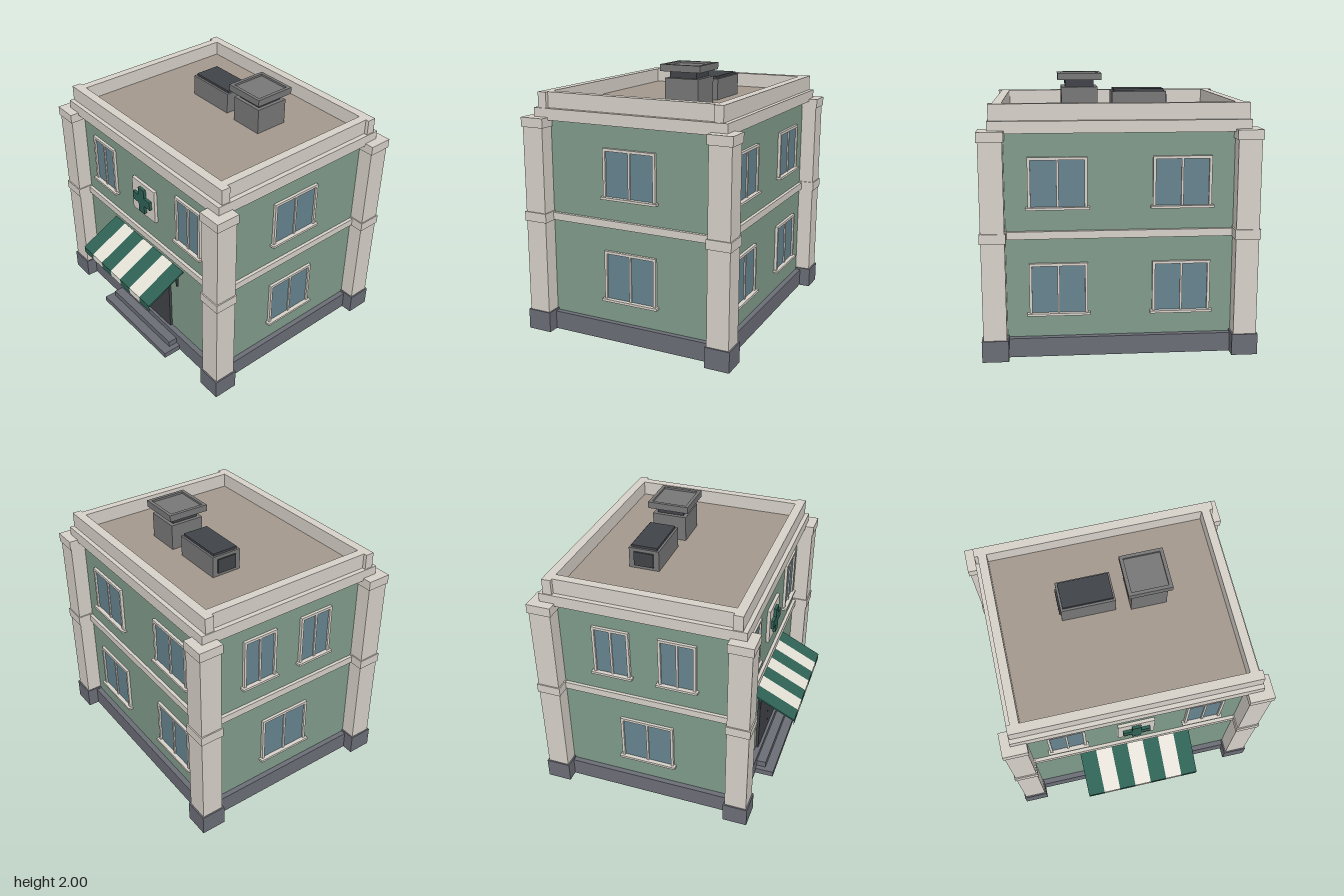
import * as THREE from 'three';

const mat = (color) => new THREE.MeshStandardMaterial({ color });

export function createModel() {
  const M = {
    wall: mat(0x7f9b8a), cream: mat(0xd6d0c8), plinth: mat(0x6b6d76), dark: mat(0x404348),
    glass: mat(0x66838f), roof: mat(0xa3988d), metal: mat(0x777777), green: mat(0x2f6154),
    white: mat(0xe4e0d6),
  };
  const ZC = -0.1; // middle of the building in depth
  const model = new THREE.Group();
  model.name = 'building';

  const group = (name, parent = model) => {
    const g = new THREE.Group();
    g.name = name;
    parent.add(g);
    return g;
  };
  // Box given by its limits on each axis
  const box = (name, m, [x0, x1], [y0, y1], [z0, z1], parent = model) => {
    const mesh = new THREE.Mesh(new THREE.BoxGeometry(x1 - x0, y1 - y0, z1 - z0), m);
    mesh.position.set((x0 + x1) / 2, (y0 + y1) / 2, (z0 + z1) / 2);
    mesh.name = name;
    parent.add(mesh);
    return mesh;
  };
  // Box centred on the building, given by its half width and half depth
  const slab = (name, m, hx, y, hz) => box(name, m, [-hx, hx], y, [ZC - hz, ZC + hz]);

  // Main body
  slab('plinth', M.plinth, 0.9, [0, 0.14], 0.742);
  slab('walls', M.wall, 0.86, [0.14, 1.62], 0.7);
  slab('floorBand', M.cream, 0.885, [0.865, 0.92], 0.725);
  slab('cornice', M.cream, 0.915, [1.615, 1.7], 0.757);
  slab('roofDeck', M.roof, 0.82, [1.69, 1.705], 0.66);

  // Parapet: front and back run the full width, the sides are set in
  for (const s of [-1, 1]) {
    const z = ZC + s * 0.69;
    box('parapetLong', M.cream, [-0.907, 0.907], [1.7, 1.815], [z - 0.034, z + 0.034]);
    const x = s * 0.848;
    box('parapetSide', M.cream, [x - 0.032, x + 0.032], [1.7, 1.815], [ZC - 0.656, ZC + 0.656]);
  }

  // Corner columns with base, collar and cap
  for (const sx of [-1, 1]) for (const sz of [-1, 1]) {
    const col = group('cornerColumn');
    col.position.set(sx * 0.893, 0, ZC + sz * 0.733);
    const part = (name, m, h, y) => box(name, m, [-h, h], y, [-h, h], col);
    part('columnBase', M.plinth, 0.094, [0, 0.155]);
    part('columnShaft', M.cream, 0.083, [0.155, 1.6]);
    part('columnCollar', M.cream, 0.092, [0.86, 0.93]);
    part('columnCap', M.cream, 0.092, [1.565, 1.635]);
  }

  // Two-pane window facing +z, then turned onto its wall
  const addWindow = (w, y0, y1, x, z, turn) => {
    const win = group('window');
    win.position.set(x, 0, z);
    win.rotation.y = turn;
    const h = w / 2, f = 0.02;
    box('glass', M.glass, [-h + f, h - f], [y0, y1 - f], [-0.01, 0.008], win);
    for (const s of [-1, 1]) {
      const cx = s * (h - f / 2);
      box('frameSide', M.cream, [cx - f / 2, cx + f / 2], [y0, y1], [-0.01, 0.022], win);
    }
    box('frameTop', M.cream, [-h + f, h - f], [y1 - f, y1], [-0.01, 0.022], win);
    box('mullion', M.cream, [-0.008, 0.008], [y0, y1 - f], [-0.01, 0.018], win);
    box('sill', M.cream, [-h - 0.016, h + 0.016], [y0 - 0.008, y0 + 0.01], [-0.01, 0.04], win);
  };
  const LOW = [0.31, 0.685], HIGH = [1.083, 1.445], NARROW = [1.083, 1.477];
  for (const s of [-1, 1]) {
    addWindow(0.282, ...NARROW, s * 0.525, 0.6, 0);
    addWindow(0.282, ...NARROW, -0.86, ZC + s * 0.25, -Math.PI / 2);
    for (const floor of [LOW, HIGH]) addWindow(0.418, ...floor, s * 0.44, -0.8, Math.PI);
  }
  for (const floor of [LOW, HIGH]) addWindow(0.418, ...floor, 0.86, ZC, Math.PI / 2);
  addWindow(0.418, ...LOW, -0.86, ZC, -Math.PI / 2);

  // Double door with handles
  const door = group('door');
  for (const s of [-1, 1]) {
    const leaf = s * 0.14;
    box('doorLeaf', M.dark, [leaf - 0.138, leaf + 0.138], [0.14, 0.64], [0.59, 0.62], door);
    const hx = s * 0.025;
    box('doorHandle', M.cream, [hx - 0.004, hx + 0.004], [0.42, 0.51], [0.62, 0.635], door);
  }

  // Entrance steps
  box('lowerStep', M.plinth, [-0.425, 0.425], [0, 0.045], [0.6, 0.788]);
  box('upperStep', M.plinth, [-0.385, 0.385], [0.045, 0.095], [0.6, 0.715]);

  // Striped awning: sloping strips with a thin hanging valance
  const awning = group('awning');
  const run = 0.32, drop = 0.16, stripe = 0.89 / 7;
  for (let i = 0; i < 7; i++) {
    const m = i % 2 ? M.white : M.green;
    const x = (i - 3) * stripe;
    const strip = box('awningStrip', m, [x - stripe / 2, x + stripe / 2],
      [0, 0.012], [0, Math.hypot(run, drop)], awning);
    strip.position.set(x, 0.729, 0.763);
    strip.rotation.x = Math.atan2(drop, run);
    const flap = m.clone();
    flap.side = THREE.DoubleSide;
    const valance = new THREE.Mesh(new THREE.PlaneGeometry(stripe, 0.05), flap);
    valance.position.set(x, 0.626, 0.923);
    valance.name = 'awningValance';
    awning.add(valance);
  }
  for (const s of [-1, 1]) {
    const x = s * 0.432;
    box('awningBracket', M.dark, [x - 0.008, x + 0.008], [0.69, 0.78], [0.645, 0.66], awning);
  }

  // Wall sign with a raised cross
  const sign = group('crossSign');
  box('signPanel', M.cream, [-0.14, 0.14], [1.098, 1.375], [0.59, 0.625], sign);
  const cross = new THREE.Shape();
  const a = 0.035, b = 0.104;
  [[-a, -b], [a, -b], [a, -a], [b, -a], [b, a], [a, a], [a, b], [-a, b], [-a, a], [-b, a], [-b, -a], [-a, -a]]
    .forEach(([x, y], i) => (i ? cross.lineTo(x, y) : cross.moveTo(x, y)));
  const crossMesh = new THREE.Mesh(
    new THREE.ExtrudeGeometry(cross, { depth: 0.022, bevelEnabled: false }), M.green);
  crossMesh.position.set(0, 1.237, 0.625);
  crossMesh.name = 'cross';
  sign.add(crossMesh);

  // Rooftop cooling unit with dark lid and end grille
  const unit = group('coolingUnit');
  box('unitBody', M.metal, [-0.375, 0.025], [1.7, 1.865], [-0.395, -0.163], unit);
  box('unitLid', M.dark, [-0.36, 0.012], [1.865, 1.883], [-0.38, -0.18], unit);
  box('unitGrille', M.dark, [-0.386, -0.375], [1.73, 1.84], [-0.355, -0.205], unit);

  // Rooftop vent with a narrow neck and a shallow tray cap
  const vent = group('roofVent');
  box('ventBase', M.metal, [0.132, 0.398], [1.7, 1.9], [-0.405, -0.14], vent);
  box('ventNeck', M.dark, [0.16, 0.37], [1.9, 1.95], [-0.377, -0.168], vent);
  box('ventCap', M.metal, [0.105, 0.425], [1.95, 1.985], [-0.432, -0.113], vent);
  for (const s of [-1, 1]) {
    const x = 0.265 + s * 0.147, z = -0.2725 + s * 0.147;
    box('capRimSide', M.metal, [x - 0.013, x + 0.013], [1.985, 2], [-0.432, -0.113], vent);
    box('capRimEnd', M.metal, [0.131, 0.399], [1.985, 2], [z - 0.0125, z + 0.0125], vent);
  }
  return model;
}
